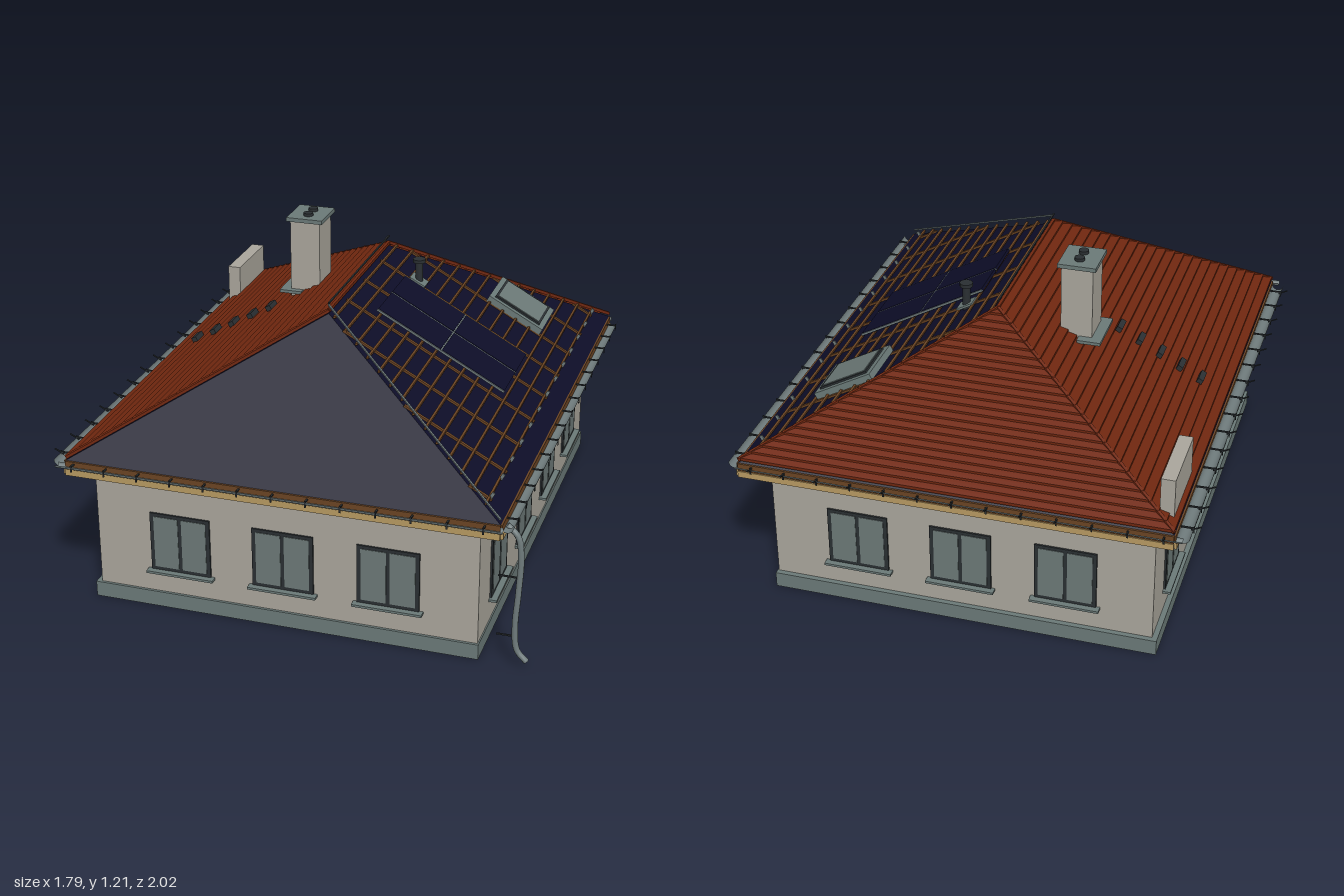
import * as THREE from 'three';

const mat = (name, color, side = THREE.FrontSide) => {
  const m = new THREE.MeshStandardMaterial({ color, side });
  m.name = name;
  return m;
};

export function createModel() {
  const house = new THREE.Group();
  house.name = 'house';
  const D = THREE.DoubleSide;
  const plaster = mat('plaster', 0xaaa69c), stone = mat('plinthGrey', 0x6b7a78);
  const glass = mat('glass', 0x6c7977), dark = mat('darkMetal', 0x2a2f32);
  const tile = mat('redTile', 0x70270f, D), membrane = mat('navyMembrane', 0x0d0d28, D);
  const wood = mat('batten', 0x6b4423), pale = mat('paleWood', 0xb89a62);
  const lining = mat('tealLining', 0x5c8683, D), zinc = mat('zinc', 0x6f7b7c, D);

  const add = (name, geo, m, x = 0, y = 0, z = 0, parent = house) => {
    const mesh = new THREE.Mesh(geo, m);
    mesh.name = name;
    mesh.position.set(x, y, z);
    parent.add(mesh);
    return mesh;
  };
  const box = (name, m, w, h, d, x, y, z, parent) =>
    add(name, new THREE.BoxGeometry(w, h, d), m, x, y, z, parent);
  const cyl = (name, m, r, h, x, y, z, parent) =>
    add(name, new THREE.CylinderGeometry(r, r, h, 14), m, x, y, z, parent);
  // Square bar between two points
  const bar = (name, m, a, b, w, h = w) => {
    const mid = a.clone().add(b).multiplyScalar(0.5);
    const mesh = box(name, m, w, h, a.distanceTo(b), mid.x, mid.y, mid.z);
    mesh.lookAt(b);
    return mesh;
  };
  const V = (x, y, z) => new THREE.Vector3(x, y, z);

  // Walls and plinth
  box('plinth', stone, 1.47, 0.06, 1.81, -0.025, 0.03, 0.005);
  box('walls', plaster, 1.445, 0.45, 1.78, -0.0175, 0.285, 0.01);

  // Windows: frame, two panes and a sill, facing local +z
  const windowUnit = (x, z, turn) => {
    const g = new THREE.Group();
    g.name = 'window';
    g.position.set(x, 0.27, z);
    g.rotation.y = turn;
    box('frame', dark, 0.232, 0.232, 0.01, 0, 0, 0.002, g);
    for (const s of [-1, 1]) box('pane', glass, 0.094, 0.206, 0.004, s * 0.054, 0, 0.007, g);
    box('sill', stone, 0.26, 0.009, 0.035, 0, -0.121, 0.012, g);
    house.add(g);
  };
  for (const x of [-0.415, -0.02, 0.375]) {
    windowUnit(x, 0.9, 0);
    windowUnit(x, -0.88, Math.PI);
  }
  for (const z of [0.62, 0.215, -0.195, -0.595]) {
    windowUnit(0.705, z, Math.PI / 2);
    windowUnit(-0.74, z, -Math.PI / 2);
  }

  // Hip roof: each slope has eave corners a, b and top corners d, c
  const L = -0.82, R = 0.79, Z = 0.97, eave = 0.585, top = 1.025;
  const FL = V(L, eave, Z), FR = V(R, eave, Z), BR = V(R, eave, -Z), BL = V(L, eave, -Z);
  const TF = V(-0.015, top, 0.38), TB = V(-0.015, top, -0.38);
  const slopes = {
    front: [FL, FR, TF, TF], right: [FR, BR, TB, TF],
    back: [BR, BL, TB, TB], left: [BL, FL, TF, TB],
  };
  const at = ([a, b, c, d], u, t, lift) => {
    const p = a.clone().lerp(b, u).lerp(d.clone().lerp(c, u), t);
    p.y += lift;
    return p;
  };
  // Strips across a slope: [t0, lift0, t1, lift1]
  const strips = (slope, rows) => {
    const pts = [];
    for (const [t0, l0, t1, l1] of rows) {
      const p = at(slope, 0, t0, l0), q = at(slope, 1, t0, l0);
      const r = at(slope, 1, t1, l1), s = at(slope, 0, t1, l1);
      pts.push(p, q, r);
      if (r.distanceTo(s) > 1e-4) pts.push(p, r, s);
    }
    const g = new THREE.BufferGeometry().setFromPoints(pts);
    g.computeVertexNormals();
    return g;
  };
  for (const [name, s] of Object.entries(slopes)) {
    add(name + 'Membrane', strips(s, [[0, 0, 1, 0]]), membrane);
    add(name + 'Lining', strips([s[1], s[0], s[3], s[2]], [[0, -0.04, 1, -0.04]]), lining);
    // Rafter tails under the eaves
    for (let i = 1; i < 9; i++) {
      bar('rafterTail', wood, at(s, i / 9, 0.01, -0.047), at(s, i / 9, 0.2, -0.047), 0.02, 0.016);
    }
  }
  // Stepped tile courses on the left and back slopes
  const rows = [], n = 24;
  for (let i = 0; i < n; i++) {
    rows.push([i / n, 0.01, i / n, 0.022], [i / n, 0.022, (i + 1) / n, 0.013]);
  }
  add('leftTiles', strips(slopes.left, rows), tile);
  add('backTiles', strips(slopes.back, rows), tile);
  const up = (p, h) => p.clone().setY(p.y + h);
  for (const [a, b] of [[TF, TB], [TB, BL], [TB, BR], [TF, FL]]) {
    bar('ridgeTile', tile, up(a, 0.013), up(b, 0.013), 0.012);
  }
  // Ridge and hip rails
  bar('ridgeRail', dark, up(TF, 0.04), up(TB, 0.04), 0.006);
  bar('hipRail', zinc, up(TF, 0.035), up(FR, 0.02), 0.006);

  // Battens on the open right slope
  for (let i = 0; i < 9; i++) {
    const z = -0.868 + i * 0.217;
    const t = Math.min(0.98, (Z - Math.abs(z)) / 0.59);
    const p = (k) => V(R + (-0.015 - R) * k, eave + (top - eave) * k + 0.004, z);
    bar('counterBatten', wood, p(0.07), p(Math.max(t, 0.08)), 0.012, 0.008);
  }
  for (let i = 0; i < 14; i++) {
    const t = 0.08 + i * 0.068;
    bar('tileBatten', wood, at(slopes.right, 0, t, 0.012), at(slopes.right, 1, t, 0.012), 0.009, 0.008);
  }

  // Fascia boards
  for (const [a, b] of [[FL, FR], [FR, BR], [BR, BL], [BL, FL]]) {
    bar('fascia', pale, up(a, -0.043), up(b, -0.043), 0.02, 0.025);
    bar('eaveBoard', wood, up(a, -0.016), up(b, -0.016), 0.012, 0.03);
  }

  // Half-round gutters with brackets
  const gutter = (r, len, x, z, turn, spike) => {
    const g = new THREE.Group();
    g.name = 'gutter';
    g.position.set(x, 0.575, z);
    g.rotation.y = turn;
    const geo = new THREE.CylinderGeometry(r, r, len, 10, 1, true, -Math.PI / 2, Math.PI);
    add('channel', geo.rotateX(Math.PI / 2), zinc, 0, 0, 0, g);
    const count = Math.round(len / 0.125);
    for (let i = 0; i < count; i++) {
      const z0 = (i + 0.5) * len / count - len / 2;
      box('bracket', dark, 2 * r, 0.005, 0.006, 0, 0.001, z0, g);
      box('bracketStrap', dark, 0.003, 0.026, 0.006, r, -0.006, z0, g);
      if (spike) box('spike', dark, 0.04, 0.004, 0.005, r + 0.008, 0.002, z0, g).rotation.z = 0.45;
    }
    house.add(g);
  };
  gutter(0.023, 1.92, 0.81, 0, 0, false);
  gutter(0.023, 1.92, -0.85, 0, Math.PI, true);
  gutter(0.015, 1.65, -0.025, 0.985, -Math.PI / 2, false);
  gutter(0.013, 1.65, -0.025, -0.975, Math.PI / 2, true);

  // Downpipe with wall clips
  const path = new THREE.CatmullRomCurve3([
    V(0.8, 0.56, 0.915), V(0.84, 0.52, 0.915), V(0.853, 0.44, 0.915), V(0.848, 0.3, 0.915),
    V(0.84, 0.16, 0.915), V(0.85, 0.07, 0.915), V(0.885, 0.03, 0.915),
  ]);
  add('downpipe', new THREE.TubeGeometry(path, 32, 0.011, 10), zinc);
  for (const y of [0.36, 0.125]) box('pipeClip', dark, 0.07, 0.005, 0.006, 0.81, y, 0.915);

  // Chimney with cap, pots and flashing
  box('chimney', plaster, 0.12, 0.4, 0.14, -0.28, 0.98, -0.19);
  box('chimneyCap', stone, 0.145, 0.016, 0.165, -0.282, 1.187, -0.197);
  for (const z of [-0.165, -0.225]) cyl('flue', dark, 0.019, 0.014, -0.28, 1.2, z);
  box('chimneyFlashing', stone, 0.09, 0.012, 0.2, -0.335, 0.892, -0.195);

  // Side panel passing through the left eave
  box('sidePanel', plaster, 0.052, 0.26, 0.29, -0.777, 0.63, -0.755);

  // Groups lying on the right (+1) or left (-1) slope
  const pitch = Math.atan((top - eave) / 0.805);
  const onSlope = (name, side, x, z, lift) => {
    const g = new THREE.Group();
    g.name = name;
    g.position.set(x, top - Math.abs(x + 0.015) * Math.tan(pitch) + lift, z);
    g.rotation.z = -side * pitch;
    house.add(g);
    return g;
  };

  // Roof steps
  for (let i = 0; i < 5; i++) {
    const g = onSlope('roofStep', -1, -0.72 + i * 0.08, -0.047, 0.03);
    box('tread', dark, 0.022, 0.02, 0.066, 0, 0, 0, g);
  }

  // Solar panels, two by two, with rails in the gaps
  const solar = onSlope('solarArray', 1, 0.36, 0.01, 0.026);
  for (const sx of [-1, 1]) for (const sz of [-1, 1]) {
    box('solarPanel', membrane, 0.278, 0.012, 0.172, sx * 0.142, 0, sz * 0.091, solar);
  }
  for (const z of [-0.18, 0, 0.18]) box('solarRail', zinc, 0.566, 0.008, 0.005, 0, 0.001, z, solar);
  box('solarCrossRail', zinc, 0.005, 0.008, 0.36, 0, 0.001, 0, solar);

  // Skylight
  const sky = onSlope('skylight', 1, 0.5, -0.535, 0.024);
  box('flashing', stone, 0.252, 0.026, 0.225, 0, 0, 0, sky);
  box('skylightFrame', dark, 0.21, 0.012, 0.185, 0, 0.014, 0, sky);
  box('skylightGlass', glass, 0.19, 0.005, 0.165, 0, 0.02, 0, sky);

  // Vent pipe
  cyl('ventPipe', dark, 0.015, 0.12, 0.155, 0.97, -0.23);
  cyl('ventCap', dark, 0.025, 0.014, 0.155, 1.033, -0.23);
  const base = onSlope('ventBase', 1, 0.155, -0.23, 0.018);
  box('ventFlange', stone, 0.07, 0.008, 0.06, 0, 0, 0, base);

  // Snow hooks above the right eave
  for (let i = 0; i < 13; i++) {
    const g = onSlope('snowHook', 1, 0.73, -0.87 + i * 0.145, 0.014);
    box('hook', zinc, 0.012, 0.024, 0.006, 0, 0.008, 0, g);
  }
  return house;
}
